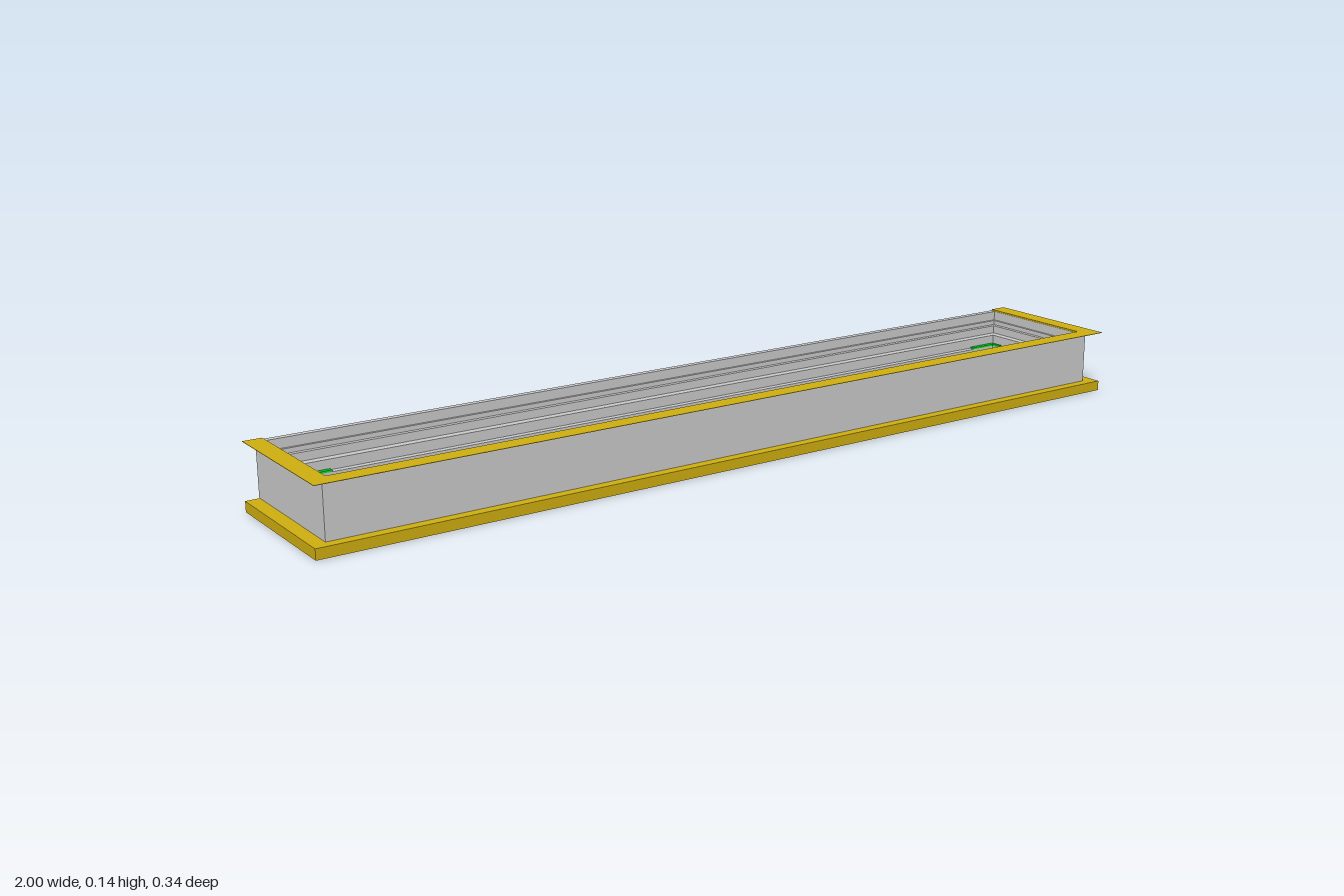
import * as THREE from 'three';

const X = 0.97, FRONT = 0.141, BACK = -0.167, TRIM_BACK = -0.164;

// Sweeps a counter-clockwise profile of [outward offset, height] around the
// rectangle with mitred corners; open leaves out the back side and caps the ends.
function sweep(profile, open) {
  const at = (k, [o, y]) => {
    const zb = open ? TRIM_BACK : BACK - o;
    return [[X + o, y, zb], [X + o, y, FRONT + o], [-X - o, y, FRONT + o], [-X - o, y, zb]][k % 4];
  };
  const pos = [];
  const n = profile.length;
  for (let k = 0; k < (open ? 3 : 4); k++) {
    for (let i = 0; i < n; i++) {
      const p = profile[i], q = profile[(i + 1) % n];
      const a = at(k, p), b = at(k, q), c = at(k + 1, q), d = at(k + 1, p);
      pos.push(...a, ...b, ...c, ...a, ...c, ...d);
    }
  }
  if (open) {
    for (let i = 1; i < n - 1; i++) {
      pos.push(...at(0, profile[0]), ...at(0, profile[i + 1]), ...at(0, profile[i]));
      pos.push(...at(3, profile[0]), ...at(3, profile[i]), ...at(3, profile[i + 1]));
    }
  }
  const g = new THREE.BufferGeometry();
  g.setAttribute('position', new THREE.Float32BufferAttribute(pos, 3));
  g.computeVertexNormals();
  return g;
}

export function createModel() {
  const model = new THREE.Group();
  const grey = new THREE.MeshStandardMaterial({ color: 0xcccccc });
  const yellow = new THREE.MeshStandardMaterial({ color: 0xd0b010 });
  const green = new THREE.MeshStandardMaterial({ color: 0x00e020 });

  const add = (name, geometry, material) => {
    const mesh = new THREE.Mesh(geometry, material);
    mesh.name = name;
    model.add(mesh);
    return mesh;
  };

  // Hollow window frame with stepped rebates on its inner face
  add('frame', sweep([
    [0, 0.022], [0, 0.139], [-0.014, 0.139], [-0.014, 0.118], [-0.02, 0.118],
    [-0.02, 0.108], [-0.03, 0.108], [-0.03, 0.09], [-0.048, 0.09],
    [-0.048, 0.068], [-0.062, 0.068], [-0.062, 0.036], [-0.05, 0.036],
    [-0.05, 0.028], [-0.042, 0.028], [-0.042, 0.022],
  ], false), grey);

  // Tapered cover strip on the front and both ends
  add('upperTrim', sweep([
    [-0.013, 0.135], [0, 0.135], [0.0275, 0.1415], [0.0275, 0.1425], [-0.013, 0.1425],
  ], true), yellow);

  // Square-edged strip at the foot
  add('lowerTrim', sweep([
    [-0.013, 0], [0.0225, 0], [0.0225, 0.0225], [-0.013, 0.0225],
  ], true).scale(1.0075, 1, 1), yellow);

  // Green packers resting in the corners of the glazing ledge
  for (const sx of [-1, 1]) {
    for (const [z, dir] of [[BACK + 0.057, 1], [FRONT - 0.057, -1]]) {
      add('cornerPackerLong', new THREE.BoxGeometry(0.07, 0.004, 0.01), green)
        .position.set(sx * 0.878, 0.07, z);
      add('cornerPackerShort', new THREE.BoxGeometry(0.008, 0.004, 0.03), green)
        .position.set(sx * 0.912, 0.07, z + dir * 0.012);
    }
  }
  return model;
}
